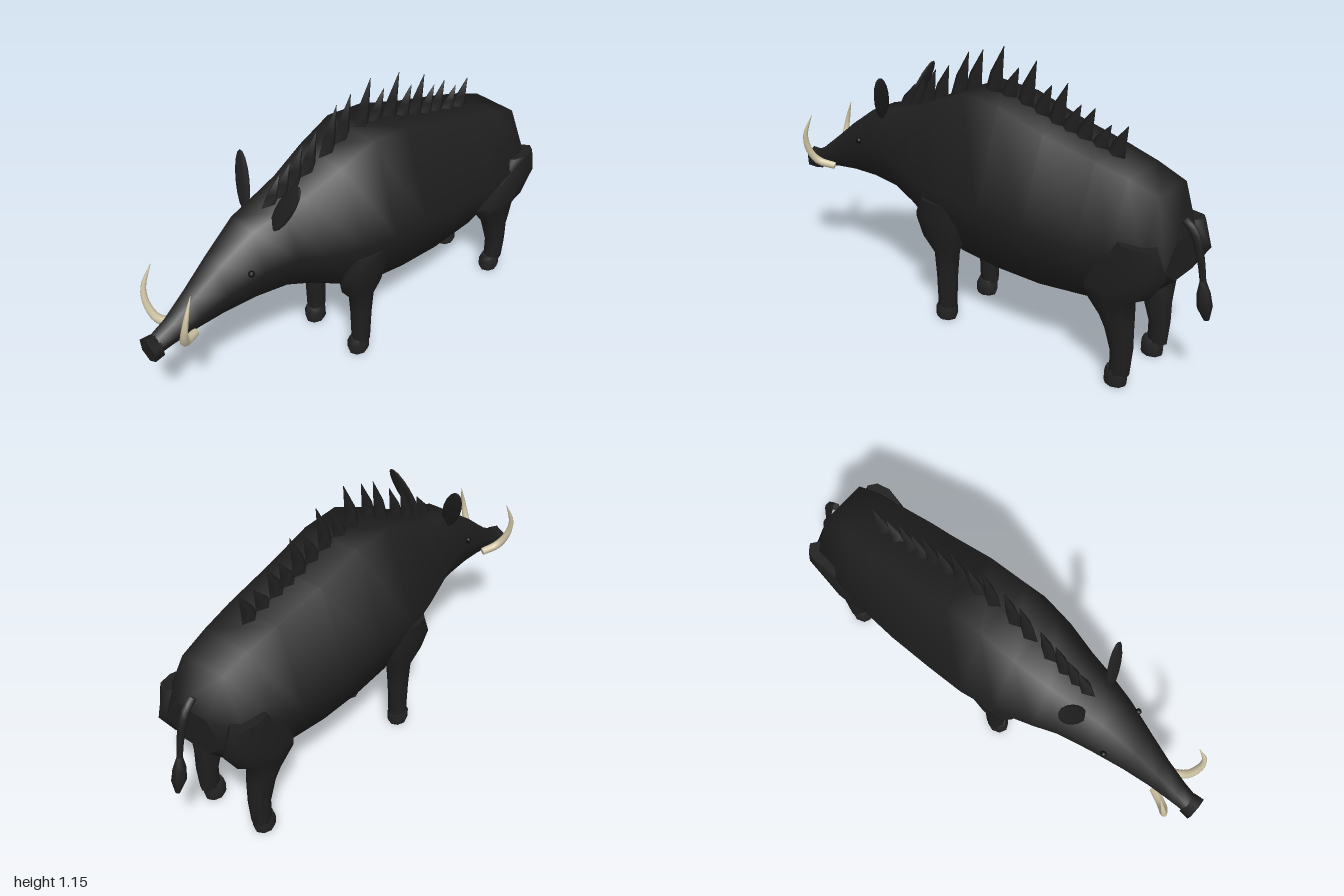
import * as THREE from 'three';

const hide = new THREE.MeshStandardMaterial({ name: 'hide', color: 0x1f1f1f });
const hoofMat = new THREE.MeshStandardMaterial({ name: 'hoof', color: 0x232323 });
const ivory = new THREE.MeshStandardMaterial({ name: 'ivory', color: 0xcfc4a4 });
const eyeMat = new THREE.MeshStandardMaterial({ name: 'eye', color: 0x0c0c0c });

// Skin a list of rings (each a list of [x, y, z]) with smooth sides and crisp end caps.
function loft(rings) {
  const n = rings[0].length, pos = [], idx = [];
  rings.forEach((r) => r.forEach((p) => pos.push(...p)));
  for (let i = 0; i < rings.length - 1; i++) {
    for (let j = 0; j < n; j++) {
      const a = i * n + j, b = i * n + (j + 1) % n;
      idx.push(a, b, a + n, b, b + n, a + n);
    }
  }
  [rings[0], rings[rings.length - 1]].forEach((r, end) => {
    const start = pos.length / 3;
    r.forEach((p) => pos.push(...p));
    pos.push(...[0, 1, 2].map((k) => r.reduce((s, p) => s + p[k], 0) / n));
    for (let j = 0; j < n; j++) {
      const a = start + j, b = start + (j + 1) % n;
      if (end) idx.push(a, b, start + n); else idx.push(b, a, start + n);
    }
  });
  // Turn every face outward, whichever way the rings run
  const v = (i) => new THREE.Vector3().fromArray(pos, i * 3);
  let volume = 0;
  for (let i = 0; i < idx.length; i += 3) {
    volume += v(idx[i]).dot(v(idx[i + 1]).cross(v(idx[i + 2])));
  }
  if (volume < 0) idx.reverse();
  const g = new THREE.BufferGeometry();
  g.setAttribute('position', new THREE.Float32BufferAttribute(pos, 3));
  g.setIndex(idx);
  g.computeVertexNormals();
  return g;
}

const ringOf = (n, f) => Array.from({ length: n }, (_, j) => f((j / n) * Math.PI * 2));

// Tapered tube along a smooth path
function taperedTube(points, radii, steps, sides) {
  const curve = new THREE.CatmullRomCurve3(points.map((p) => new THREE.Vector3(...p)));
  const frames = curve.computeFrenetFrames(steps, false);
  const rings = [];
  for (let i = 0; i <= steps; i++) {
    const c = curve.getPointAt(i / steps);
    const t = (i / steps) * (radii.length - 1), k = Math.min(Math.floor(t), radii.length - 2);
    const r = THREE.MathUtils.lerp(radii[k], radii[k + 1], t - k);
    rings.push(ringOf(sides, (a) => c.clone()
      .addScaledVector(frames.normals[i], Math.cos(a) * r)
      .addScaledVector(frames.binormals[i], Math.sin(a) * r).toArray()));
  }
  return loft(rings);
}

// Leg from horizontal sections: [y, x, z, radius x, radius z]
const legGeometry = (sections, s) => loft(sections.map(([y, x, z, rx, rz]) =>
  ringOf(8, (a) => [s * (x + rx * Math.cos(a)), y, z + rz * Math.sin(a)])));

// Body sections: [z, top, bottom, half width]
const bodySections = [
  [0.96, 0.505, 0.435, 0.04], [0.9, 0.535, 0.45, 0.047], [0.8, 0.61, 0.47, 0.064],
  [0.69, 0.695, 0.487, 0.09], [0.55, 0.79, 0.497, 0.128], [0.42, 0.825, 0.488, 0.16],
  [0.32, 0.85, 0.45, 0.19], [0.17, 0.915, 0.375, 0.236], [0.02, 0.975, 0.325, 0.26],
  [-0.15, 0.96, 0.302, 0.26], [-0.35, 0.895, 0.293, 0.253], [-0.57, 0.84, 0.307, 0.236],
  [-0.7, 0.805, 0.345, 0.214], [-0.82, 0.76, 0.395, 0.196], [-0.885, 0.6, 0.45, 0.14],
];

function topAt(z) {
  const i = bodySections.findIndex((s) => s[0] <= z);
  const a = bodySections[i - 1], b = bodySections[i];
  return THREE.MathUtils.mapLinear(z, a[0], b[0], a[1], b[1]);
}

export function createModel() {
  const model = new THREE.Group();
  model.name = 'boar';
  const add = (name, geometry, material) => {
    const m = new THREE.Mesh(geometry, material);
    m.name = name;
    model.add(m);
    return m;
  };

  // Six-sided body running into the head
  add('body', loft(bodySections.map(([z, top, bottom, w]) => {
    const mid = (top + bottom) / 2 - 0.1 * (top - bottom) * (z < 0.4 ? 0.6 : 0);
    return ringOf(6, (a) => {
      const s = Math.sin(a) / Math.sin(Math.PI / 3);
      return [w * Math.cos(a), mid + s * (s > 0 ? top - mid : mid - bottom), z];
    });
  })), hide);

  // Snout disc
  const snout = add('snout', new THREE.CylinderGeometry(0.05, 0.046, 0.042, 6), hide);
  snout.position.set(0, 0.461, 0.973);
  snout.rotation.x = Math.PI / 2 + 0.08;

  // Bristles along the spine: [tip z, tip y], swept backward
  const tips = [
    [0.37, 0.92], [0.32, 0.95], [0.26, 1.0], [0.19, 1.03], [0.09, 1.1], [0.02, 1.12],
    [-0.08, 1.15], [-0.15, 1.08], [-0.23, 1.12], [-0.3, 1.04], [-0.37, 1.06],
    [-0.43, 0.99], [-0.49, 0.99], [-0.56, 0.94], [-0.63, 0.95],
  ];
  tips.forEach(([z, y], i) => {
    const zc = z + 0.05, base = topAt(zc) - 0.015;
    const ring = (h, k, sweep) => ringOf(4, (a) =>
      [0.028 * k * Math.cos(a), base + (y - base) * h, zc - sweep + 0.042 * k * Math.sin(a)]);
    add('bristle' + (i + 1), loft([ring(0, 1, 0), ring(0.45, 0.7, 0.016), ring(1, 0.03, 0.05)]), hide);
  });

  // Tail with tuft
  add('tail', taperedTube([[0, 0.66, -0.875], [0, 0.62, -0.915], [0, 0.53, -0.945], [0, 0.42, -0.965]],
    [0.016, 0.017, 0.013, 0.011], 10, 6), hide);
  add('tailTuft', taperedTube([[0, 0.45, -0.96], [0, 0.37, -0.972], [0, 0.3, -0.987]],
    [0.011, 0.025, 0.028, 0.01], 6, 6), hide);

  for (const s of [1, -1]) {
    const side = s > 0 ? 'left' : 'right';

    add(side + 'FrontLeg', legGeometry([
      [0.06, 0.14, 0.095, 0.036, 0.04], [0.2, 0.14, 0.095, 0.041, 0.045],
      [0.3, 0.14, 0.095, 0.046, 0.055], [0.37, 0.148, 0.105, 0.062, 0.1],
      [0.46, 0.18, 0.112, 0.05, 0.108], [0.54, 0.2, 0.1, 0.03, 0.075],
    ], s), hide);

    add(side + 'HindLeg', legGeometry([
      [0.055, 0.14, -0.725, 0.036, 0.042], [0.15, 0.14, -0.73, 0.04, 0.046],
      [0.24, 0.14, -0.715, 0.046, 0.062], [0.29, 0.145, -0.705, 0.052, 0.075],
      [0.37, 0.155, -0.675, 0.06, 0.11], [0.4, 0.16, -0.7, 0.062, 0.14],
      [0.5, 0.165, -0.755, 0.062, 0.15], [0.6, 0.175, -0.79, 0.045, 0.08],
    ], s), hide);

    // Hooves
    for (const [name, z] of [['FrontHoof', 0.105], ['HindHoof', -0.708]]) {
      add(side + name, legGeometry([
        [0, 0.135, z, 0.036, 0.042], [0.015, 0.135, z, 0.041, 0.047],
        [0.05, 0.135, z, 0.041, 0.047], [0.072, 0.136, z - 0.003, 0.034, 0.04],
      ], s), hoofMat);
    }

    // Ear: flattened leaf leaning out and back
    const ear = add(side + 'Ear', new THREE.SphereGeometry(1, 10, 8), hide);
    ear.scale.set(0.04, 0.115, 0.011);
    ear.position.set(s * 0.122, 0.872, 0.445);
    ear.rotation.set(-0.3, 0, -s * 0.42);

    // Tusk curling up from the jaw
    add(side + 'Tusk', taperedTube([
      [s * 0.045, 0.47, 0.82], [s * 0.08, 0.49, 0.885], [s * 0.112, 0.545, 0.907],
      [s * 0.129, 0.62, 0.905], [s * 0.12, 0.715, 0.868],
    ], [0.016, 0.018, 0.014, 0.009, 0.001], 16, 8), ivory);

    const eye = add(side + 'Eye', new THREE.SphereGeometry(0.013, 8, 6), eyeMat);
    eye.position.set(s * 0.108, 0.655, 0.6);
  }
  return model;
}
